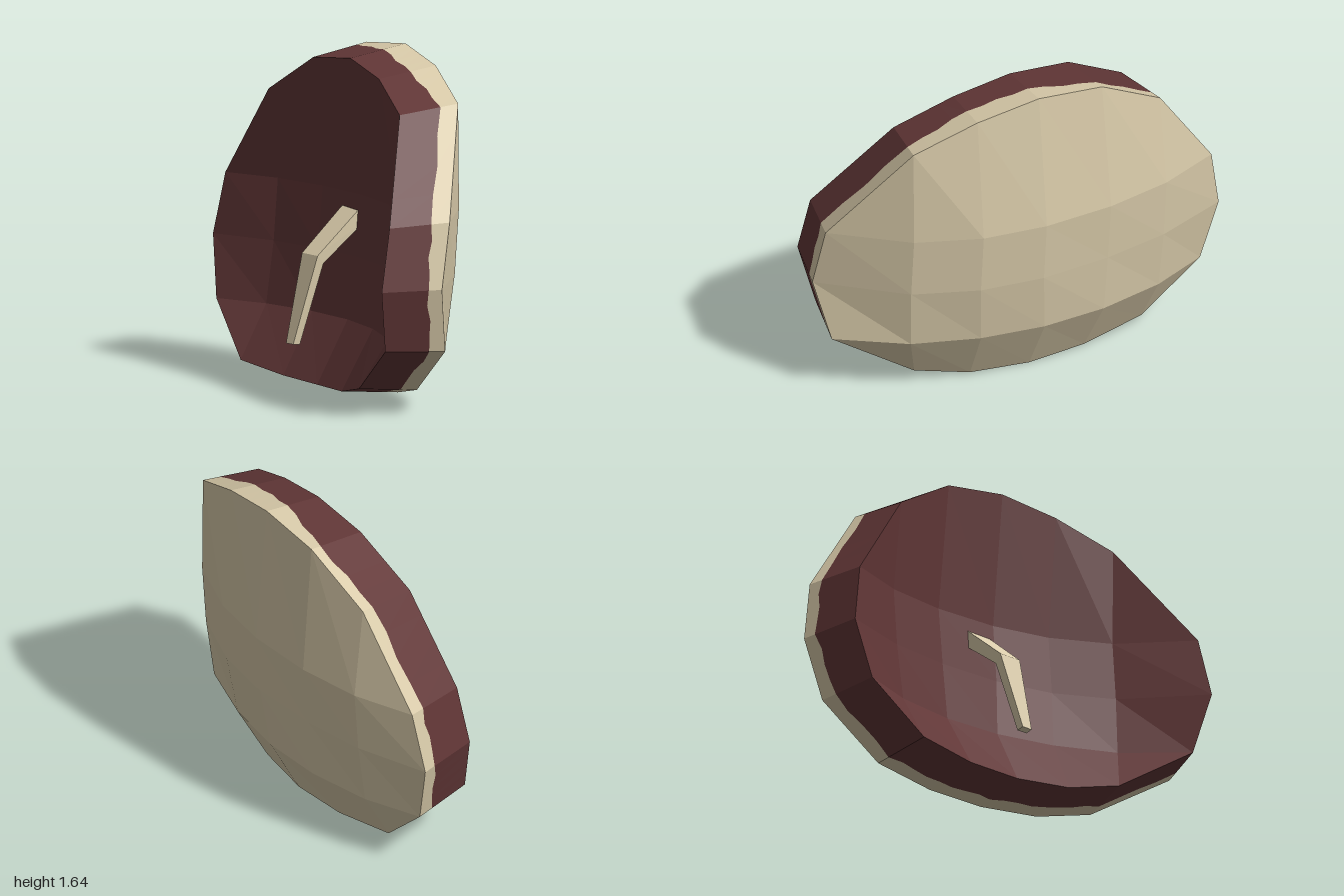
import * as THREE from 'three';
import { ConvexGeometry } from 'three/addons/geometries/ConvexGeometry.js';

const material = (name, color, options = {}) => {
  const m = new THREE.MeshStandardMaterial({ color, ...options });
  m.name = name;
  return m;
};

// Flat-faced geometry from a list of four-cornered faces; repeated corners give triangles
function facesGeometry(quads) {
  const points = [];
  const add = (a, b, c) => {
    if (a !== b && b !== c && c !== a) points.push(a, b, c);
  };
  for (const [a, b, c, d] of quads) {
    add(a, b, c);
    add(a, c, d);
  }
  const geometry = new THREE.BufferGeometry().setFromPoints(points);
  geometry.computeVertexNormals();
  return geometry;
}

// Rows of the curved plate from top to bottom, columns from front to back
function plateGrid() {
  const row = (x, y, z) => x.map((v, i) => new THREE.Vector3(v, Array.isArray(y) ? y[i] : y, z[i]));
  const top = row([0.195, 0.295, 0.355, 0.385, 0.37], [1.455, 1.59, 1.65, 1.61, 1.41], [0.66, 0.36, 0.05, -0.29, -0.63]);
  const bottom = row([0.03, 0.12, 0.19, 0.21, 0.2], [0.07, 0.015, 0.005, 0.012, 0.05], [0.55, 0.29, 0, -0.3, -0.63]);
  const padded = (r) => [r[0], ...r, r[4]]; // the rounded corners collapse to one point
  return [
    padded(top),
    row([-0.1, 0.2, 0.35, 0.425, 0.45, 0.425, 0.34], 0.95, [0.97, 0.66, 0.36, 0.05, -0.3, -0.63, -0.94]),
    row([-0.17, 0.175, 0.325, 0.4, 0.42, 0.4, 0.31], 0.635, [1, 0.66, 0.36, 0.05, -0.3, -0.63, -1]),
    row([-0.1, 0.14, 0.28, 0.36, 0.385, 0.355, 0.27], 0.32, [0.935, 0.64, 0.33, 0.02, -0.3, -0.63, -0.92]),
    padded(bottom),
  ];
}

// Moves an outer point through the thickness to the inner side
const inward = (p) => new THREE.Vector3(
  p.x - 0.31 + 0.022 * p.z,
  p.y + 0.03 - 0.045 * p.y,
  p.z - 0.03 - 0.07 * p.z,
);

export function createModel() {
  const group = new THREE.Group();
  const cream = material('cream', 0xd9cbaa);
  const darkRed = material('dark red', 0x623737);
  const part = (name, geometry, mat) => {
    const mesh = new THREE.Mesh(geometry, mat);
    mesh.name = name;
    group.add(mesh);
  };

  // Outer and inner curved faces
  const outer = plateGrid();
  const cells = [];
  for (let i = 0; i < 4; i++) {
    for (let j = 0; j < 6; j++) {
      cells.push([outer[i][j], outer[i + 1][j], outer[i + 1][j + 1], outer[i][j + 1]]);
    }
  }
  const innerOf = new Map(outer.flat().map((p) => [p, inward(p)]));
  part('outerFace', facesGeometry(cells), cream);
  part('innerFace', facesGeometry(cells.map((q) => q.map((p) => innerOf.get(p)).reverse())), darkRed);

  // Rim, divided by a slightly ragged colour line
  const ring = [
    outer[0][1], outer[1][0], outer[2][0], outer[3][0],
    ...outer[4].slice(1, 6),
    outer[3][6], outer[2][6], outer[1][6],
    ...outer[0].slice(2, 6).reverse(),
  ];
  const split = [0.3, 0.3, 0.23, 0.25, 0.3, 0.3, 0.28, 0.25, 0.25, 0.25, 0.23, 0.23, 0.22, 0.18, 0.4, 0.45];
  const steps = 4;
  const strips = [];
  ring.forEach((a, k) => {
    const n = (k + 1) % ring.length;
    for (let s = 0; s < steps; s++) {
      const t = s / steps;
      const o = a.clone().lerp(ring[n], t);
      const i = innerOf.get(a).clone().lerp(innerOf.get(ring[n]), t);
      const f = THREE.MathUtils.lerp(split[k], split[n], t) + 0.025 * Math.sin((k * steps + s) * 2.3);
      strips.push({ o, m: o.clone().lerp(i, f), i });
    }
  });
  const band = (from, to) => facesGeometry(strips.map((a, k) => {
    const b = strips[(k + 1) % strips.length];
    return [a[from], a[to], b[to], b[from]];
  }));
  part('outerRim', band('o', 'm'), cream);
  part('innerRim', band('m', 'i'), darkRed);

  // Bent handle: arm leaving the inner face, then a tapering grip
  const section = (upper, lower, z0, z1) =>
    [upper, lower].flatMap(([x, y]) => [z0, z1].map((z) => new THREE.Vector3(x, y, z)));
  const root = section([0.16, 0.9], [0.16, 0.81], -0.14, -0.005);
  const bend = section([-0.125, 0.66], [-0.09, 0.62], -0.14, -0.02);
  const tip = section([-0.25, 0.24], [-0.21, 0.235], -0.105, -0.05);
  part('handleArm', new ConvexGeometry([...root, ...bend]), cream);
  part('handleGrip', new ConvexGeometry([...bend, ...tip]), cream);

  return group;
}
